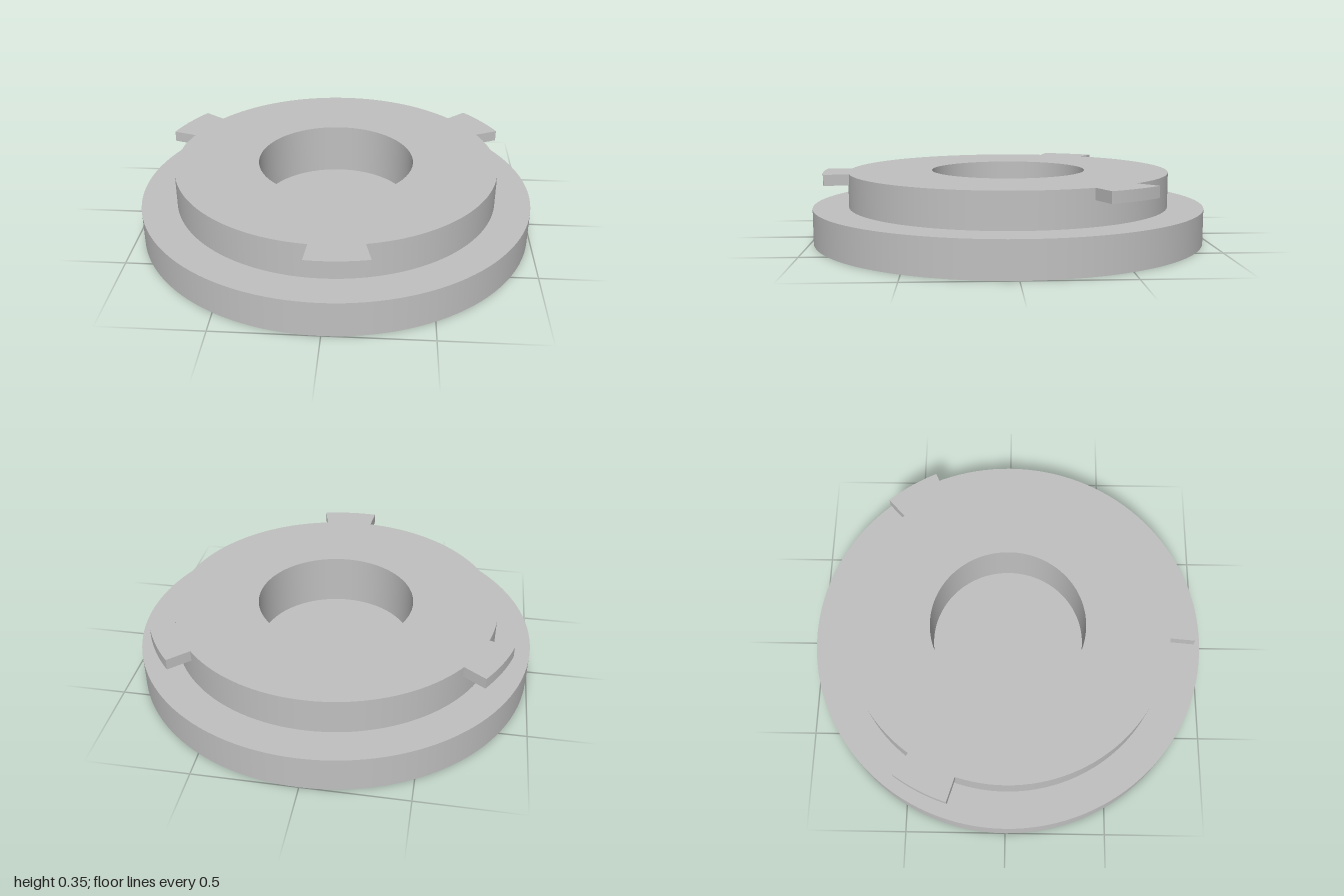
import * as THREE from 'three';
import { toCreasedNormals } from 'three/addons/utils/BufferGeometryUtils.js';

const BASE_TOP = 0.175, TOP = 0.35, BORE_FLOOR = 0.087;
const COLLAR_R = 0.82, BORE_R = 0.395, TAB_R = 0.945, TAB_H = 0.055;

// Revolved profile; inner corners are doubled so their edges stay sharp
function turned(profile) {
  const points = [];
  profile.forEach(([r, y], i) => {
    points.push(new THREE.Vector2(r, y));
    if (i > 0 && i < profile.length - 1) points.push(new THREE.Vector2(r, y));
  });
  return new THREE.LatheGeometry(points, 128);
}

// Ring sector, angles in degrees from the front (+z) towards +x
function sector(from, to) {
  const a = THREE.MathUtils.degToRad(from - 90), b = THREE.MathUtils.degToRad(to - 90);
  const shape = new THREE.Shape();
  shape.absarc(0, 0, TAB_R, a, b, false);
  shape.absarc(0, 0, COLLAR_R - 0.002, b, a, true);
  const geometry = new THREE.ExtrudeGeometry(shape, { depth: TAB_H, bevelEnabled: false, curveSegments: 12 });
  geometry.rotateX(-Math.PI / 2).translate(0, TOP - TAB_H, 0);
  return toCreasedNormals(geometry, 0.5);
}

export function createModel() {
  const model = new THREE.Group();
  model.name = 'bayonetCap';
  const grey = new THREE.MeshStandardMaterial({ color: 0xc0c0c0 });
  grey.name = 'grey';

  const add = (name, geometry) => {
    const mesh = new THREE.Mesh(geometry, grey);
    mesh.name = name;
    model.add(mesh);
  };

  // Wide disc with its exposed ledge
  add('baseDisc', turned([[0, 0], [1, 0], [1, BASE_TOP], [COLLAR_R, BASE_TOP]]));

  // Raised collar and the blind bore sunk into the base
  add('collar', turned([[COLLAR_R, BASE_TOP], [COLLAR_R, TOP], [BORE_R, TOP], [BORE_R, BORE_FLOOR], [0, BORE_FLOOR]]));

  // Three locking tabs around the collar rim
  for (let i = 0; i < 3; i++) add(`lockingTab${i + 1}`, sector(-4.9 + i * 120, 12.9 + i * 120));

  return model;
}
